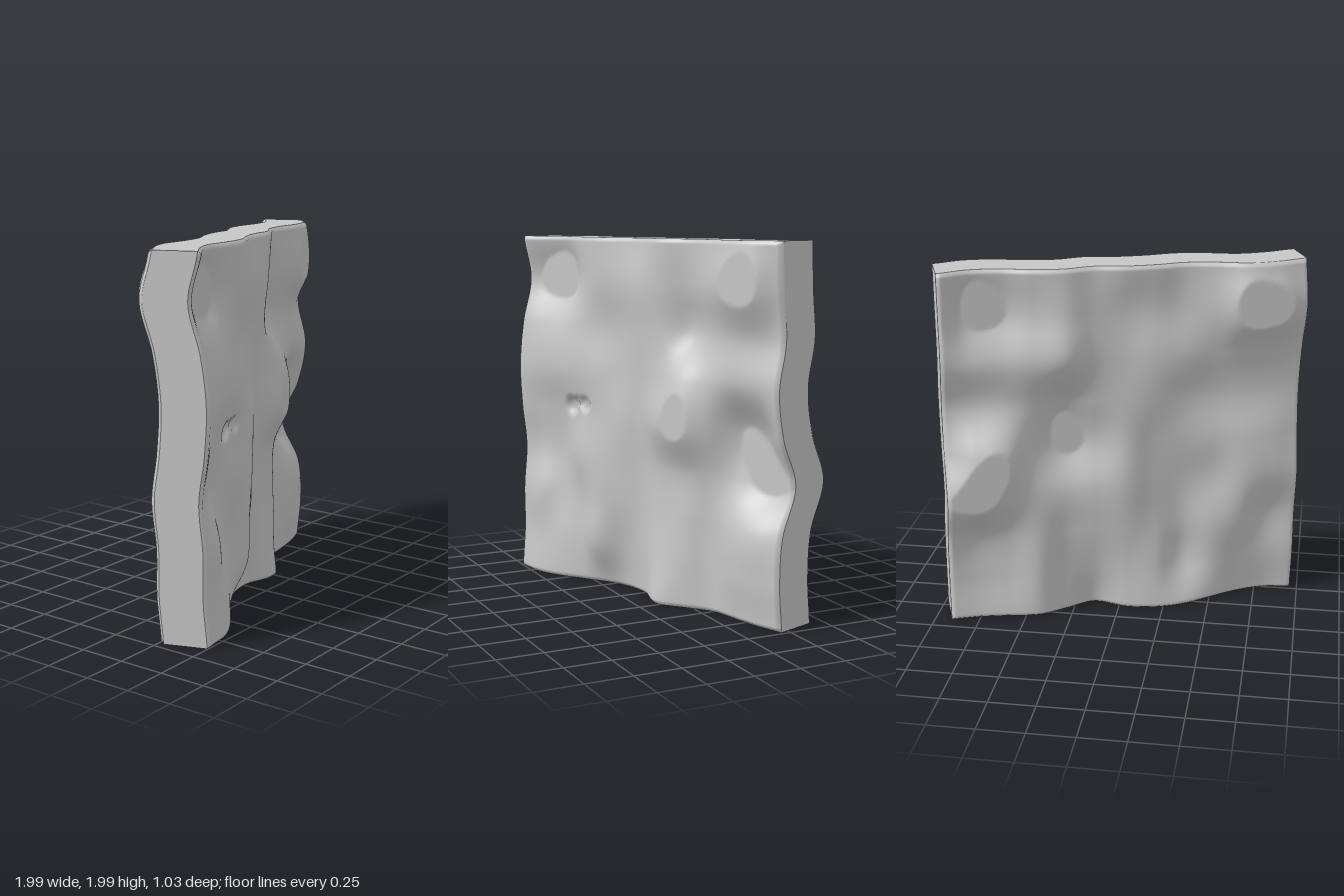
import * as THREE from 'three';

const WIDTH = 1.99, HEIGHT = 1.985, HALF = 0.133, BEVEL = 0.018;

// Wave offsets in hundredths, rows from top to bottom, columns left to right
const WAVES = [
  [1, -3, -4, 1, 4, 2, 2, 5, 2, 4, 9, 10, 5],
  [-4, -10, -11, -1, 4, 4, 5, 4, 0, 5, 12, 13, 4],
  [2, 1, 1, 2, 1, 1, 3, 2, -4, 0, 4, 4, 2],
  [5, 5, 5, 5, 4, 2, 2, 5, 9, 6, 5, 6, 7],
  [4, 1, 0, 2, 4, 4, 2, 9, 13, 6, -7, -6, 3],
  [1, -1, -2, 4, 6, 4, 0, 2, 3, 0, -5, -10, -7],
  [3, 5, 0, 1, 6, 3, 0, 2, 3, -1, 3, 5, 3],
  [3, 5, 4, 2, 6, -1, 0, 5, 4, -1, 4, 6, 5],
  [5, 8, 6, 1, -4, -5, -1, 9, 4, -1, 1, 3, 3],
];

// Smooth curve through evenly spaced values, t from 0 to 1
function curve(values, t) {
  const n = values.length - 1;
  const s = Math.min(Math.max(t, 0), 1) * n;
  const i = Math.min(Math.floor(s), n - 1), f = s - i;
  const b = values[i], c = values[i + 1];
  const a = i > 0 ? values[i - 1] : b, d = i + 2 <= n ? values[i + 2] : c;
  return b + 0.5 * f * (c - a + f * (2 * a - 5 * b + 4 * c - d + f * (3 * (b - c) + d - a)));
}

// Waviness with its peaks and hollows cut flat
function wave(x, y) {
  const h = curve(WAVES.map((row) => curve(row, x / WIDTH + 0.5)), 0.5 - y / HEIGHT) / 100;
  return THREE.MathUtils.clamp(h, -0.07, 0.11);
}

// Small chipped hollow on the front face: x, y, radius, depth
const CHIPS = [[-0.57, 0.03, 0.05, 0.03], [-0.51, 0.055, 0.035, 0.015], [-0.45, 0.045, 0.045, 0.022]];
function chip(x, y) {
  return CHIPS.reduce((sum, [cx, cy, r, depth]) => {
    const q = ((x - cx) ** 2 + (y - cy) ** 2) / (r * r);
    return sum + depth * Math.exp(-q * q);
  }, 0);
}

// Depth lost to the rounded rim at distance d from the edge
function rim(d) {
  const k = Math.max(BEVEL - d, 0);
  return BEVEL - Math.sqrt(Math.max(BEVEL * BEVEL - k * k, 0));
}

export function createModel() {
  const group = new THREE.Group();
  group.name = 'wavyPanel';
  const stone = new THREE.MeshStandardMaterial({ color: 0xc6c6c6 });
  stone.name = 'stoneGrey';

  const geometry = new THREE.BoxGeometry(WIDTH, HEIGHT, HALF * 2, 150, 150, 4);
  const p = geometry.attributes.position;
  for (let i = 0; i < p.count; i++) {
    const x = p.getX(i), y = p.getY(i);
    const edge = Math.min(WIDTH / 2 - Math.abs(x), HEIGHT / 2 - Math.abs(y));
    const side = p.getZ(i) / HALF;
    const dent = side > 0.99 ? chip(x, y) : 0;
    p.setZ(i, side * (HALF - rim(edge)) + wave(x, y) - dent);
  }
  geometry.computeVertexNormals();

  const slab = new THREE.Mesh(geometry, stone);
  slab.name = 'slab';
  slab.position.y = HEIGHT / 2;
  slab.rotation.y = THREE.MathUtils.degToRad(20);
  group.add(slab);
  return group;
}
